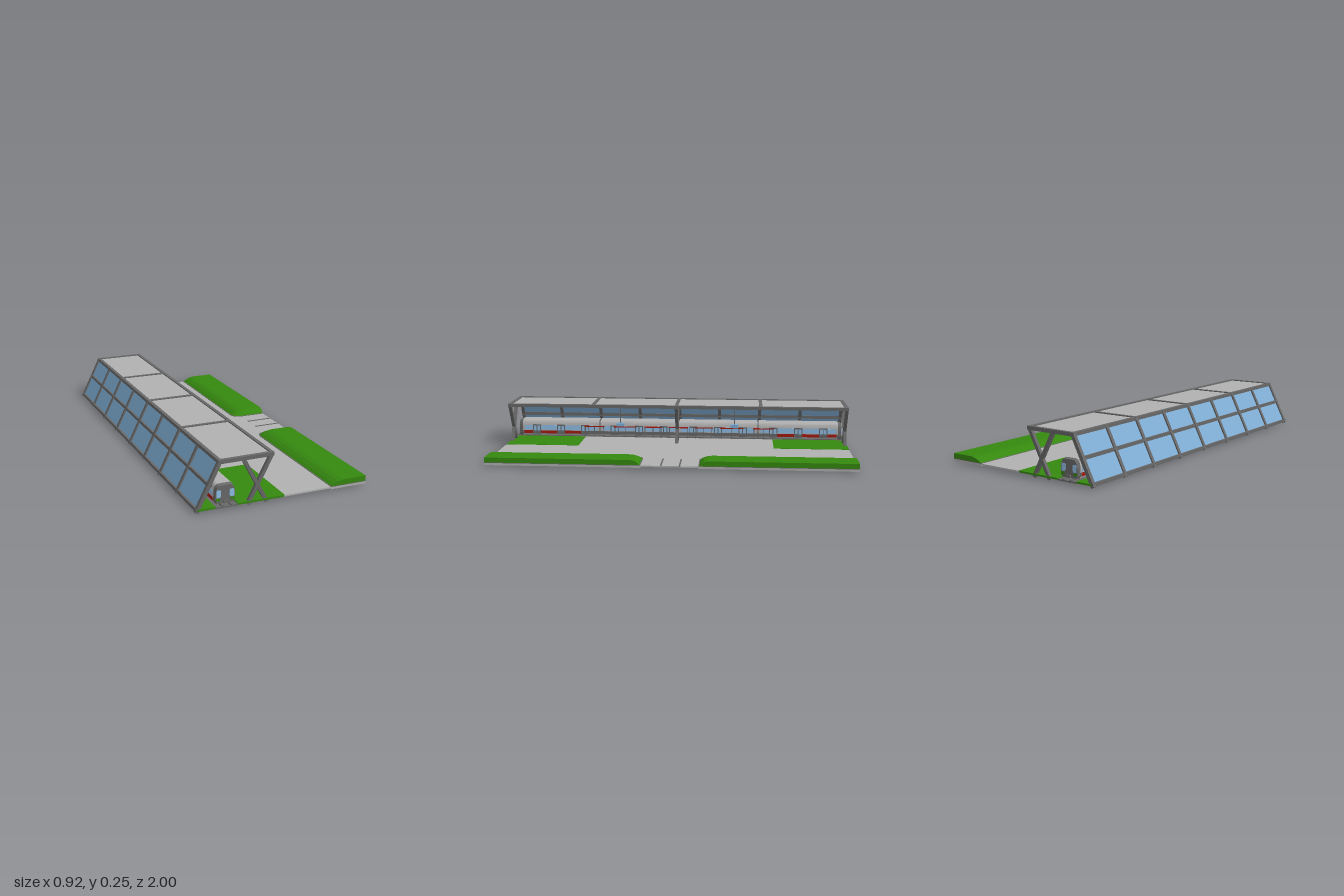
import * as THREE from 'three';

const mat = (name, color, side = THREE.FrontSide) => {
  const m = new THREE.MeshStandardMaterial({ color, side });
  m.name = name;
  return m;
};

export function createModel() {
  const root = new THREE.Group();
  root.name = 'railwayStation';
  const steel = mat('dark steel', 0x686868);
  const concrete = mat('light concrete', 0xb0b0b0);
  const grass = mat('grass', 0x35880f);
  const glass = mat('glass', 0x7faed4, THREE.DoubleSide);
  const paleGlass = mat('pale train glass', 0x94c4ee);
  const red = mat('red paint', 0xa31c12);

  const add = (name, geo, m, parent = root) => {
    const mesh = new THREE.Mesh(geo, m);
    mesh.name = name;
    parent.add(mesh);
    return mesh;
  };
  // Box given by its minimum and maximum along each axis
  const box = (name, m, x0, x1, y0, y1, z0, z1, parent = root) => {
    const mesh = add(name, new THREE.BoxGeometry(x1 - x0, y1 - y0, z1 - z0), m, parent);
    mesh.position.set((x0 + x1) / 2, (y0 + y1) / 2, (z0 + z1) / 2);
    return mesh;
  };
  // Beam leaning in the x-y plane, at depth z
  const beam = (name, a, b, w, z, m = steel, depth = w, parent = root) => {
    const dx = b[0] - a[0], dy = b[1] - a[1];
    const mesh = add(name, new THREE.BoxGeometry(Math.hypot(dx, dy), w, depth), m, parent);
    mesh.position.set((a[0] + b[0]) / 2, (a[1] + b[1]) / 2, z);
    mesh.rotation.z = Math.atan2(dy, dx);
    return mesh;
  };

  // Ground slabs
  box('plaza', concrete, 0, 0.265, 0.018, 0.026, -1, 1);
  box('entranceRoad', concrete, 0.265, 0.46, 0.018, 0.026, -0.18, 0.18);
  box('platform', concrete, -0.245, 0, 0.018, 0.026, -0.57, 0.57);
  box('trackBed', steel, -0.36, -0.245, 0.016, 0.023, -1, 1);
  box('rearLawn', grass, -0.45, -0.36, 0.018, 0.027, -1, 1);
  for (const s of [-1, 1]) {
    box('endLawn', grass, -0.245, 0.005, 0.018, 0.027, Math.min(s, s * 0.57), Math.max(s, s * 0.57));
  }
  for (const x of [-0.325, -0.28]) box('rail', steel, x - 0.004, x + 0.004, 0.023, 0.03, -1, 1);
  for (const z of [-0.055, 0.045]) box('roadLine', steel, 0.31, 0.46, 0.026, 0.029, z - 0.004, z + 0.004);

  // Outline of a mound: rounded inner corner, straight outer sides
  const outline = (ix, iz, r = 0.05) => {
    const pts = [[0.46, 0.155 + iz]];
    for (let i = 0; i <= 8; i++) {
      const t = (i / 8) * Math.PI / 2;
      pts.push([0.26 + ix + r - r * Math.sin(t), 0.155 + iz + r - r * Math.cos(t)]);
    }
    pts.push([0.26 + ix, 1], [0.46, 1]);
    return pts;
  };
  // Solid built from stacked outlines; levels hold [x inset, z inset, height]
  const stack = (levels, s) => {
    const pos = [], idx = [];
    const loops = levels.map(([ix, iz]) => outline(ix, iz));
    const n = loops[0].length;
    loops.forEach((l, k) => l.forEach(([x, z]) => pos.push(x, levels[k][2], z * s)));
    const tri = (a, b, c) => (s > 0 ? idx.push(a, b, c) : idx.push(a, c, b));
    for (let k = 0; k < levels.length - 1; k++) {
      for (let i = 0; i < n; i++) {
        const j = (i + 1) % n, a = k * n + i, b = k * n + j;
        tri(a, a + n, b);
        tri(b, a + n, b + n);
      }
    }
    const top = (levels.length - 1) * n;
    for (let i = 0; i < n - 2; i++) {
      tri(top + n - 1, top + i + 1, top + i);
      tri(n - 1, i, i + 1);
    }
    // orient every face outward
    let vol = 0;
    const v = (i) => new THREE.Vector3(pos[3 * i], pos[3 * i + 1], pos[3 * i + 2]);
    for (let i = 0; i < idx.length; i += 3) vol += v(idx[i]).dot(v(idx[i + 1]).cross(v(idx[i + 2])));
    if (vol < 0) idx.reverse();
    const g = new THREE.BufferGeometry();
    g.setAttribute('position', new THREE.Float32BufferAttribute(pos, 3));
    g.setIndex(idx);
    const flat = g.toNonIndexed();
    flat.computeVertexNormals();
    return flat;
  };
  for (const s of [-1, 1]) {
    add('moundBase', stack([[0, 0, 0.013], [0, 0, 0.025]], s), concrete);
    add('moundKerb', stack([[0, 0, 0.025], [0, 0, 0.028]], s), steel);
    add('grassMound', stack([[0.005, 0.005, 0.028], [0.02, 0.012, 0.038],
      [0.042, 0.028, 0.049], [0.068, 0.05, 0.055]], s), grass);
  }

  // Canopy frame
  const foot = [-0.455, 0.009], knee = [-0.336, 0.248], eave = [-0.062, 0.248];
  const zs = Array.from({ length: 9 }, (_, i) => -0.988 + i * 0.247);
  zs.forEach((z, i) => {
    beam('slopingPost', foot, knee, 0.019, z);
    if (i % 2 === 0) beam('roofBeam', [-0.34, 0.247], eave, 0.019, z);
    if (i % 4 === 0) {
      beam('crossBrace', [-0.19, 0.009], [-0.068, 0.245], 0.018, z);
      beam('crossBrace', [-0.09, 0.009], [-0.215, 0.243], 0.018, z);
    }
  });
  for (const [x, y] of [[-0.449, 0.022], [-0.388, 0.14], [-0.336, 0.247], [-0.066, 0.249]]) {
    box('longBeam', steel, x - 0.009, x + 0.009, y - 0.009, y + 0.009, -0.998, 0.998);
  }
  box('roofPanel', concrete, -0.335, -0.066, 0.245, 0.252, -0.99, 0.99);
  beam('glassWall', [-0.453, 0.014], [-0.336, 0.247], 0.004, 0, glass, 1.97);
  for (const z of [-0.34, 0.34]) {
    box('hangingSign', glass, -0.16, -0.13, 0.115, 0.135, z - 0.022, z + 0.022);
    box('signHanger', steel, -0.147, -0.143, 0.135, 0.246, z - 0.003, z + 0.003);
  }

  // Train: rounded cross-section, with sloping cab ends
  const train = new THREE.Group();
  train.name = 'train';
  train.position.x = -0.303;
  root.add(train);
  const section = new THREE.Shape();
  section.moveTo(-0.046, 0.03);
  section.lineTo(0.046, 0.03);
  section.lineTo(0.053, 0.045);
  section.lineTo(0.053, 0.085);
  section.quadraticCurveTo(0.05, 0.127, 0.026, 0.127);
  section.lineTo(-0.026, 0.127);
  section.quadraticCurveTo(-0.05, 0.127, -0.053, 0.085);
  section.lineTo(-0.053, 0.045);
  section.closePath();
  const carLength = 0.475;
  for (let c = 0; c < 4; c++) {
    const mid = (c - 1.5) * 0.483;
    const geo = new THREE.ExtrudeGeometry(section, { depth: carLength, bevelEnabled: false, curveSegments: 6 });
    geo.translate(0, 0, mid - carLength / 2);
    add('carBody', geo, [steel, concrete], train);
    for (const s of [-1, 1]) {
      const x = s * 0.0535;
      const plate = (name, m, y0, y1, z, w, t) =>
        box(name, m, x - t, x + t, y0, y1, z - w / 2, z + w / 2, train);
      // Side band: red on the outer half of the end cars, dark elsewhere
      const end = c === 0 ? -1 : c === 3 ? 1 : 0;
      plate('sideSkirt', steel, 0.042, 0.06, mid, carLength, 0.001);
      if (end) plate('redSkirt', red, 0.042, 0.06, mid + end * 0.05, 0.36, 0.0015);
      plate('windowBand', paleGlass, 0.064, 0.093, mid, 0.45, 0.001);
      for (let i = 0; i < 3; i++) {
        const z = mid + (i - 1) * 0.15;
        plate('doorFrame', steel, 0.038, 0.097, z, 0.05, 0.0022);
        for (const d of [-0.011, 0.011]) plate('doorGlass', paleGlass, 0.06, 0.09, z + d, 0.017, 0.0028);
      }
    }
  }
  for (let c = -1; c <= 1; c++) {
    box('gangway', steel, -0.044, 0.044, 0.036, 0.115, c * 0.483 - 0.006, c * 0.483 + 0.006, train);
  }
  box('underframe', steel, -0.04, 0.04, 0.024, 0.032, -0.95, 0.95, train);

  // Cab faces
  for (const s of [-1, 1]) {
    const cab = new THREE.Group();
    cab.name = 'cabFace';
    cab.position.z = s * 0.962;
    if (s < 0) cab.rotation.y = Math.PI;
    train.add(cab);
    const nose = new THREE.ExtrudeGeometry(section, { depth: 0.02, bevelEnabled: false, curveSegments: 6 });
    const p = nose.attributes.position;
    for (let i = 0; i < p.count; i++) {
      if (p.getZ(i) > 0.01) p.setXYZ(i, p.getX(i) * 0.94, 0.07 + (p.getY(i) - 0.07) * 0.92, p.getZ(i));
    }
    nose.computeVertexNormals();
    add('nose', nose, steel, cab);
    for (const m of [-1, 1]) {
      const win = new THREE.Shape([[0.022, 0.068], [0.029, 0.062], [0.046, 0.062], [0.046, 0.092],
        [0.041, 0.101], [0.022, 0.098]].map(([x, y]) => new THREE.Vector2(x * m, y)));
      const w = add('cabWindow', new THREE.ExtrudeGeometry(win, { depth: 0.003, bevelEnabled: false }), paleGlass, cab);
      w.position.z = 0.019;
      const gx = m * 0.038;
      box('cabStripe', grass, gx - 0.01, gx + 0.01, 0.045, 0.058, 0.019, 0.0215, cab);
    }
    box('coupler', steel, -0.012, 0.012, 0.035, 0.047, 0.018, 0.027, cab);
  }

  // Platform railings with red top rails
  const rails = [[0.515, 0.125], [0.325, 0.14], [0.155, 0.11], [0, 0.12], [-0.155, 0.11], [-0.325, 0.14], [-0.515, 0.125]];
  for (const [z, len] of rails) {
    const g = new THREE.Group();
    g.name = 'platformRailing';
    g.position.set(-0.241, 0, z);
    root.add(g);
    box('topRail', red, -0.003, 0.003, 0.088, 0.094, -len / 2, len / 2, g);
    for (const k of [-0.45, 0, 0.45]) {
      box('railPost', steel, -0.002, 0.002, 0.026, 0.088, k * len - 0.002, k * len + 0.002, g);
    }
  }

  return root;
}
